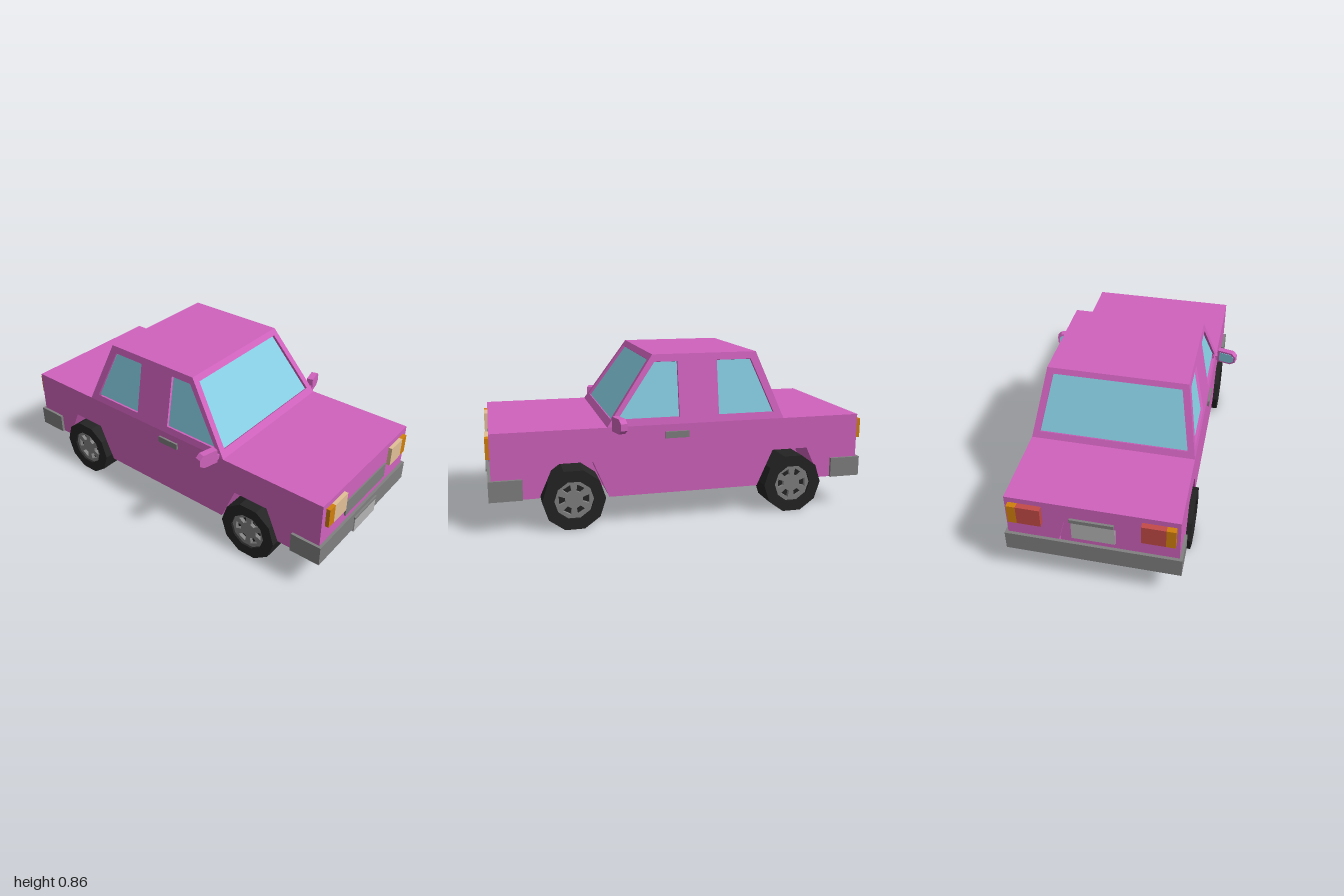
import * as THREE from 'three';

const mat = (color) => new THREE.MeshStandardMaterial({ color, flatShading: true });

export function createModel() {
  const car = new THREE.Group();
  car.name = 'car';
  const paint = mat(0xd062bd), glass = mat(0x86cde2), grey = mat(0x808080), plateGrey = mat(0xb4b4b4);
  const rubber = mat(0x242424), amber = mat(0xd07f0c), lamp = mat(0xe2c096), red = mat(0xc24a48);

  const add = (name, geometry, material, parent = car) => {
    const mesh = new THREE.Mesh(geometry, material);
    mesh.name = name;
    parent.add(mesh);
    return mesh;
  };
  // Box given by its extents on each axis
  const box = (name, material, x0, x1, y0, y1, z0, z1, parent) =>
    add(name, new THREE.BoxGeometry(x1 - x0, y1 - y0, z1 - z0)
      .translate((x0 + x1) / 2, (y0 + y1) / 2, (z0 + z1) / 2), material, parent);
  const shapeOf = (pts, holes = []) => {
    const shape = new THREE.Shape(pts.map(([a, b]) => new THREE.Vector2(a, b)));
    shape.holes = holes.map((h) => new THREE.Path(h.map(([a, b]) => new THREE.Vector2(a, b))));
    return shape;
  };
  const extrude = (pts, depth, holes) =>
    new THREE.ExtrudeGeometry(shapeOf(pts, holes), { depth, bevelEnabled: false });
  // Side profile in (z, y), extruded between two x positions
  const slab = (name, pts, x0, x1) =>
    add(name, extrude(pts, x1 - x0).rotateY(-Math.PI / 2).translate(x1, 0, 0), paint);

  // Lower body: full centre, outer slabs with wheel arches cut out
  const tail = -0.945, nose = 0.975, belt = 0.51;
  const ends = [[tail, 0.17], [tail, belt], [nose, belt], [nose, 0.17]];
  slab('bodyCentre', [...ends, [0.74, 0.17], [0.7, 0.15], [-0.72, 0.15], [-0.76, 0.17]], -0.22, 0.22);
  const arched = [...ends,
    [0.745, 0.17], [0.67, 0.34], [0.475, 0.34], [0.395, 0.15],
    [-0.4, 0.15], [-0.485, 0.34], [-0.68, 0.34], [-0.76, 0.17]];
  slab('bodySideLeft', arched, 0.22, 0.42);
  slab('bodySideRight', arched, -0.42, -0.22);
  // Tail panel with a notch for the plate
  add('tailPanel', extrude([[-0.42, 0.17], [-0.165, 0.17], [-0.165, 0.275], [-0.135, 0.4],
    [0.135, 0.4], [0.165, 0.275], [0.165, 0.17], [0.42, 0.17], [0.42, belt], [-0.42, belt]], 0.026)
    .translate(0, 0, tail - 0.026), paint);

  // Cabin: leaning panels with window holes, set in place by a turn about y
  const roofY = 0.86;
  const leaning = (geo, thickness, base, slope, inset, turn) => {
    const p = geo.attributes.position;
    const c = 1 / Math.hypot(1, slope), s = slope * c;
    for (let i = 0; i < p.count; i++) {
      const d = thickness - p.getZ(i) + inset, y = p.getY(i);
      p.setXYZ(i, p.getX(i), y - d * s, base - (y - belt) * slope - d * c);
    }
    geo.computeVertexNormals();
    return geo.rotateY(turn);
  };
  const cabinPanel = (name, outline, windows, base, slope, turn) => {
    add(name + 'Frame', leaning(extrude(outline, 0.025, windows), 0.025, base, slope, 0, turn), paint);
    for (const w of windows) {
      add(name + 'Glass', leaning(extrude(w, 0.008), 0.008, base, slope, 0.014, turn), glass);
    }
  };
  const endOutline = [[-0.42, belt], [0.42, belt], [0.355, roofY], [-0.355, roofY]];
  const endWindow = [[-0.38, 0.543], [0.38, 0.543], [0.325, 0.832], [-0.325, 0.832]];
  cabinPanel('windscreen', endOutline, [endWindow], 0.4, 0.7, 0);
  cabinPanel('rearScreen', endOutline, [endWindow], 0.54, 0.4, Math.PI);
  const sideOutline = [[0.4, belt], [-0.54, belt], [-0.4, roofY], [0.155, roofY]];
  const sideWindows = [
    [[0.345, 0.547], [0.025, 0.547], [0.025, 0.823], [0.145, 0.823]],
    [[-0.185, 0.547], [-0.485, 0.547], [-0.37, 0.823], [-0.185, 0.823]]];
  for (const s of [1, -1]) {
    const flip = (pts) => pts.map(([z, y]) => [-s * z, y]);
    cabinPanel(s > 0 ? 'leftSide' : 'rightSide', flip(sideOutline), sideWindows.map(flip),
      0.42, 0.065 / 0.35, s * Math.PI / 2);
  }
  box('roof', paint, -0.355, 0.355, 0.845, roofY, -0.4, 0.155);

  // Bumpers wrapping round the corners
  for (const [name, z0, z1, inner] of [['front', 0.975, 0.99, 0.825], ['rear', -0.987, -0.971, -0.82]]) {
    box(name + 'Bumper', grey, -0.435, 0.435, 0.17, 0.275, z0, z1);
    for (const s of [1, -1]) {
      box(name + 'BumperEnd', grey, Math.min(s * 0.42, s * 0.435), Math.max(s * 0.42, s * 0.435),
        0.17, 0.275, Math.min(inner, z1), Math.max(inner, z0));
    }
  }

  // Grille, plates and boot handle
  box('grille', grey, -0.2, 0.2, 0.315, 0.4, 0.97, 0.983);
  box('frontPlate', plateGrey, -0.108, 0.106, 0.155, 0.24, 0.985, 0.996);
  box('frontPlateBar', grey, -0.112, 0.11, 0.238, 0.25, 0.985, 0.999);
  box('rearPlate', plateGrey, -0.107, 0.107, 0.28, 0.385, -0.957, -0.94);
  box('bootHandle', grey, -0.107, 0.107, 0.413, 0.433, -0.983, -0.965);

  // Lamps, door handles and mirrors on both sides
  const mirrorOutline = [[0, 0], [0.08, 0], [0.107, 0.02], [0.107, 0.055], [0.085, 0.075], [0, 0.075]];
  const mirrorGlass = [[0.012, 0.01], [0.078, 0.01], [0.097, 0.024], [0.097, 0.051], [0.08, 0.065], [0.012, 0.065]];
  for (const s of [1, -1]) {
    const pair = (name, m, a, b, ...rest) => box(name, m, Math.min(s * a, s * b), Math.max(s * a, s * b), ...rest);
    pair('headlamp', lamp, 0.225, 0.34, 0.375, 0.48, 0.97, 0.995);
    pair('frontIndicator', amber, 0.34, 0.388, 0.375, 0.48, 0.97, 0.995);
    pair('tailLamp', red, 0.24, 0.357, 0.375, 0.48, -1, -0.965);
    pair('rearIndicator', amber, 0.357, 0.402, 0.375, 0.48, -1, -0.965);
    pair('doorHandle', grey, 0.41, 0.431, 0.44, 0.474, -0.022, 0.102);
    pair('mirrorStalk', paint, 0.4, 0.442, 0.503, 0.53, 0.345, 0.375);

    const mirror = new THREE.Group();
    mirror.name = 'mirror';
    mirror.position.set(s * 0.434, 0.495, 0.362);
    mirror.rotation.y = s * 0.24;
    const side = (pts) => pts.map(([x, y]) => [s * x, y]);
    add('mirrorHousing', extrude(side(mirrorOutline), 0.035).translate(0, 0, -0.0175), paint, mirror);
    add('mirrorGlass', extrude(side(mirrorGlass), 0.004).translate(0, 0, -0.0205), glass, mirror);
    car.add(mirror);
  }

  // Wheels: ten-sided tyre with a recessed six-hole rim
  const tyreProfile = [[0, -0.08], [0.16, -0.08], [0.16, 0.08], [0.1, 0.08], [0.1, 0.045], [0, 0.045]]
    .map(([r, y]) => new THREE.Vector2(r, y));
  const polar = (r, a) => [r * Math.cos(a), r * Math.sin(a)];
  const rimOutline = Array.from({ length: 10 }, (_, i) => polar(0.1, i * Math.PI / 5));
  const rimHoles = Array.from({ length: 6 }, (_, i) => {
    const a = i * Math.PI / 3;
    return [polar(0.046, a - 0.25), polar(0.08, a - 0.3), polar(0.08, a + 0.3), polar(0.046, a + 0.25)];
  });
  for (const s of [1, -1]) {
    for (const [name, z] of [['frontWheel', 0.575], ['rearWheel', -0.595]]) {
      const wheel = new THREE.Group();
      wheel.name = name;
      wheel.position.set(s * 0.364, 0.153, z);
      if (s < 0) wheel.rotation.y = Math.PI;
      add('tyre', new THREE.LatheGeometry(tyreProfile, 10).rotateZ(-Math.PI / 2), rubber, wheel);
      add('rim', extrude(rimOutline, 0.02, rimHoles).rotateY(Math.PI / 2).translate(0.048, 0, 0), grey, wheel);
      car.add(wheel);
    }
  }
  return car;
}
